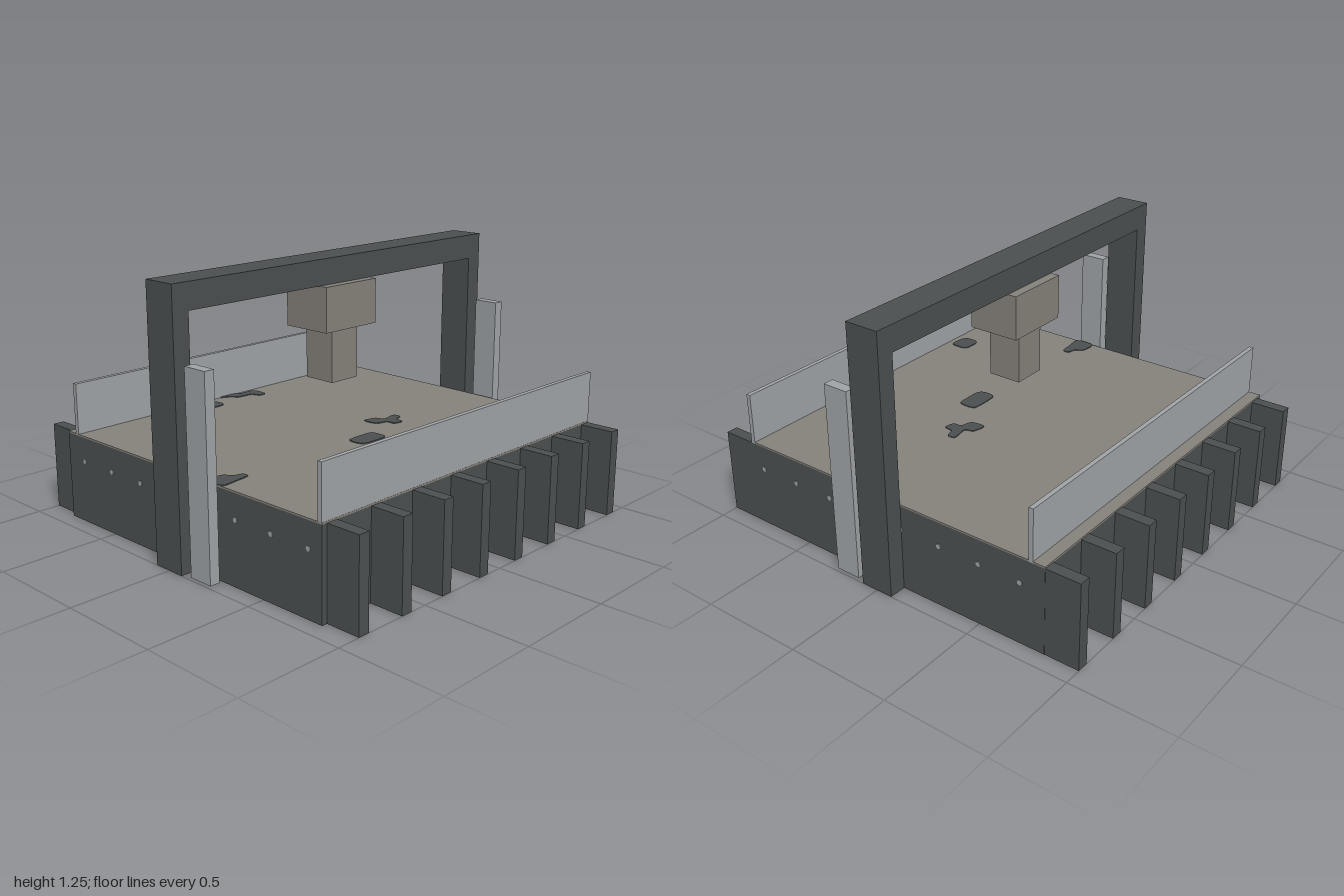
import * as THREE from 'three';

export function createModel() {
  const model = new THREE.Group();
  model.name = 'gantryTable';

  const mat = (name, color) => {
    const m = new THREE.MeshStandardMaterial({ color });
    m.name = name;
    return m;
  };
  const dark = mat('dark iron', 0x4a4f50);
  const taupe = mat('worn taupe', 0x85817a);
  const steel = mat('light steel', 0x9fa3a6);

  const add = (name, geometry, material) => {
    const mesh = new THREE.Mesh(geometry, material);
    mesh.name = name;
    model.add(mesh);
    return mesh;
  };
  // Box given by its extents on each axis
  const box = (name, material, [x0, x1], [y0, y1], [z0, z1]) => {
    const mesh = add(name, new THREE.BoxGeometry(x1 - x0, y1 - y0, z1 - z0), material);
    mesh.position.set((x0 + x1) / 2, (y0 + y1) / 2, (z0 + z1) / 2);
    return mesh;
  };

  // Base block and its worn work surface
  const W = 0.917, D = 0.833, H = 0.417;
  box('base', dark, [-W, W], [0, H], [-D, D]);
  box('workSurface', taupe, [-W, W], [H, 0.425], [-D, D]);

  // Fins along the front and back
  for (let i = 0; i < 8; i++) {
    const x = -0.89 + i * 0.25;
    box('frontFin', dark, [x, x + 0.056], [0, H], [D, 1]);
    box('backFin', dark, [x, x + 0.056], [0, H], [-1, -D]);
  }

  // Guard panels
  box('frontPanel', steel, [-W, W], [H, 0.667], [0.81, 0.832]);
  box('backPanel', steel, [-W, W], [H, 0.667], [-0.774, -0.752]);

  // Gantry frame and the guide posts in front of it
  box('gantryBeam', dark, [-1, 1], [1.13, 1.25], [-0.083, 0.083]);
  for (const s of [-1, 1]) {
    const leg = box('gantryLeg', dark, [-0.0415, 0.0415], [0, 1.13], [-0.083, 0.083]);
    leg.position.x = s * 0.9585;
    const post = box('guidePost', steel, [-0.025, 0.025], [0, 0.92], [0.125, 0.25]);
    post.position.x = s * 0.958;
  }

  // Tool head hanging from the beam
  box('headHousing', taupe, [-0.165, 0.163], [0.92, 1.13], [-0.127, 0.125]);
  box('headSpindle', taupe, [-0.084, 0.082], [0.667, 0.92], [-0.083, 0.083]);

  // Bare patches on the work surface, outlines as x, z pairs
  const patches = [
    [[-.34, -.71], [-.32, -.735], [-.25, -.73], [-.22, -.70], [-.19, -.70], [-.17, -.73],
      [-.125, -.725], [-.125, -.64], [-.27, -.635], [-.29, -.67], [-.33, -.685]],
    [[-.05, -.75], [.04, -.75], [.08, -.73], [.15, -.73], [.165, -.70], [.16, -.64],
      [.12, -.64], [.10, -.68], [.02, -.69], [0, -.72]],
    [[.165, .06], [.23, .07], [.25, .11], [.33, .10], [.335, .14], [.29, .155],
      [.28, .20], [.23, .19], [.225, .15], [.17, .13]],
    [[-.115, .23], [-.09, .21], [.03, .21], [.05, .23], [.05, .285], [.03, .305],
      [-.085, .305], [-.115, .28]],
    [[-.912, .162], [-.83, .162], [-.80, .20], [-.76, .212], [-.76, .245], [-.83, .255],
      [-.912, .258]],
    [[-.575, .70], [-.555, .68], [-.485, .68], [-.465, .70], [-.465, .76], [-.485, .78],
      [-.545, .775], [-.575, .755]],
  ];
  for (const outline of patches) {
    const curve = new THREE.CatmullRomCurve3(
      outline.map(([x, z]) => new THREE.Vector3(x, -z, 0)), true, 'catmullrom', 0.4);
    const shape = new THREE.Shape(curve.getPoints(48).slice(0, -1).map((p) => new THREE.Vector2(p.x, p.y)));
    const geo = new THREE.ExtrudeGeometry(shape, { depth: 0.004, bevelEnabled: false });
    geo.rotateX(-Math.PI / 2);
    add('surfacePatch', geo, dark).position.y = 0.425;
  }

  // Small rivets on the sides and underside of the base
  const rivet = new THREE.CylinderGeometry(0.012, 0.012, 0.006, 10);
  for (let i = 0; i < 8; i++) {
    const x = -0.835 + i * 0.23, z = 0.76 - i * 0.21;
    for (const s of [-1, 1]) {
      const a = add('endRivet', rivet, steel);
      a.rotation.x = Math.PI / 2;
      a.position.set(x, 0.3, s * D);
      const b = add('sideRivet', rivet, steel);
      b.rotation.z = Math.PI / 2;
      b.position.set(s * W, 0.3, z);
    }
  }
  for (let i = 0; i < 7; i++) {
    for (const z of [-0.78, 0.05]) {
      add('undersideRivet', rivet, steel).position.set(-0.76 + i * 0.27, 0.002, z);
    }
  }
  return model;
}
